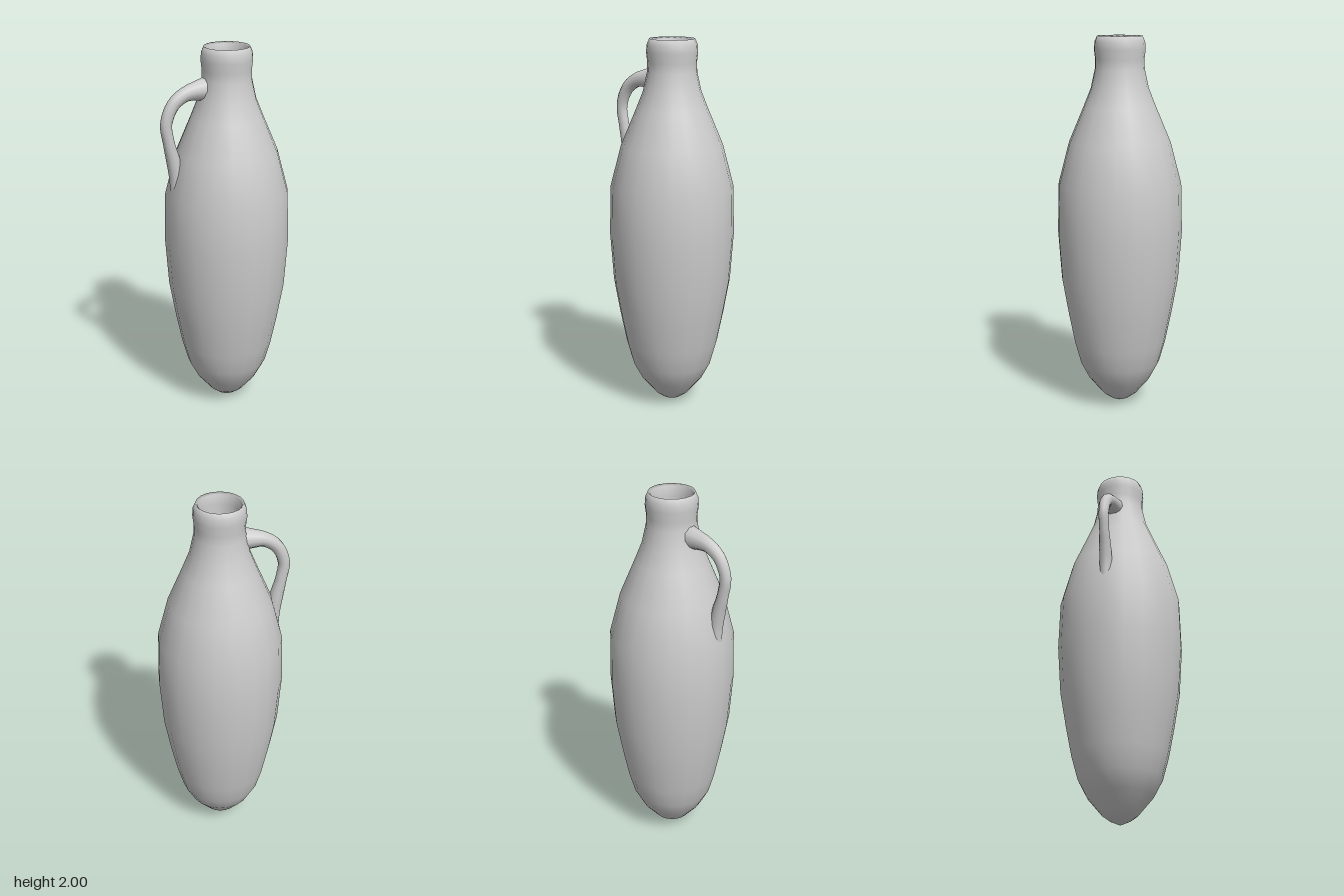
import * as THREE from 'three';

const material = new THREE.MeshStandardMaterial({ color: 0xcccccc, side: THREE.DoubleSide });
const AXIS_X = 0.014;

// Turned body: outer wall, rounded rim, then the inside of the neck down to a bowl
function makeBody() {
  const profile = [
    [0, 0.005], [0.055, 0.03], [0.095, 0.06], [0.17, 0.15], [0.217, 0.24], [0.25, 0.36],
    [0.282, 0.52], [0.315, 0.71], [0.333, 0.97], [0.326, 1.23], [0.268, 1.45],
    [0.19, 1.635], [0.152, 1.73], [0.13, 1.83], [0.128, 1.88], [0.134, 1.93],
    [0.131, 1.97], [0.118, 2.0], [0.107, 1.99], [0.1, 1.94], [0.1, 1.82],
    [0.092, 1.68], [0.06, 1.6], [0, 1.57],
  ].map(([r, y]) => new THREE.Vector2(r, y));
  const body = new THREE.Mesh(new THREE.LatheGeometry(profile, 20), material);
  body.name = 'body';
  body.position.x = AXIS_X;
  return body;
}

// Looped handle: a tube that flares where it joins the neck and shoulder
function makeHandle() {
  const path = new THREE.CatmullRomCurve3([
    [-0.09, 1.79], [-0.15, 1.785], [-0.215, 1.772], [-0.28, 1.725], [-0.32, 1.63],
    [-0.308, 1.53], [-0.285, 1.43], [-0.27, 1.34], [-0.265, 1.22],
  ].map(([x, y]) => new THREE.Vector3(x, y, -0.004)));
  const thickness = [0.065, 0.05, 0.038, 0.034, 0.031, 0.03, 0.037, 0.038, 0.036];
  const steps = 28, sides = 10;
  const geometry = new THREE.TubeGeometry(path, steps, 1, sides);
  const pos = geometry.attributes.position;
  const v = new THREE.Vector3();
  for (let i = 0; i <= steps; i++) {
    const centre = path.getPointAt(i / steps);
    const t = path.getUtoTmapping(i / steps) * (thickness.length - 1);
    const k = Math.min(Math.floor(t), thickness.length - 2);
    const radius = THREE.MathUtils.lerp(thickness[k], thickness[k + 1], t - k);
    for (let j = 0; j <= sides; j++) {
      const n = i * (sides + 1) + j;
      v.fromBufferAttribute(pos, n).sub(centre).multiplyScalar(radius);
      v.z *= 0.9;
      v.add(centre);
      pos.setXYZ(n, v.x, v.y, v.z);
    }
  }
  const handle = new THREE.Mesh(geometry, material);
  handle.name = 'handle';
  return handle;
}

export function createModel() {
  const model = new THREE.Group();
  model.name = 'jug';
  model.add(makeBody(), makeHandle());
  return model;
}
